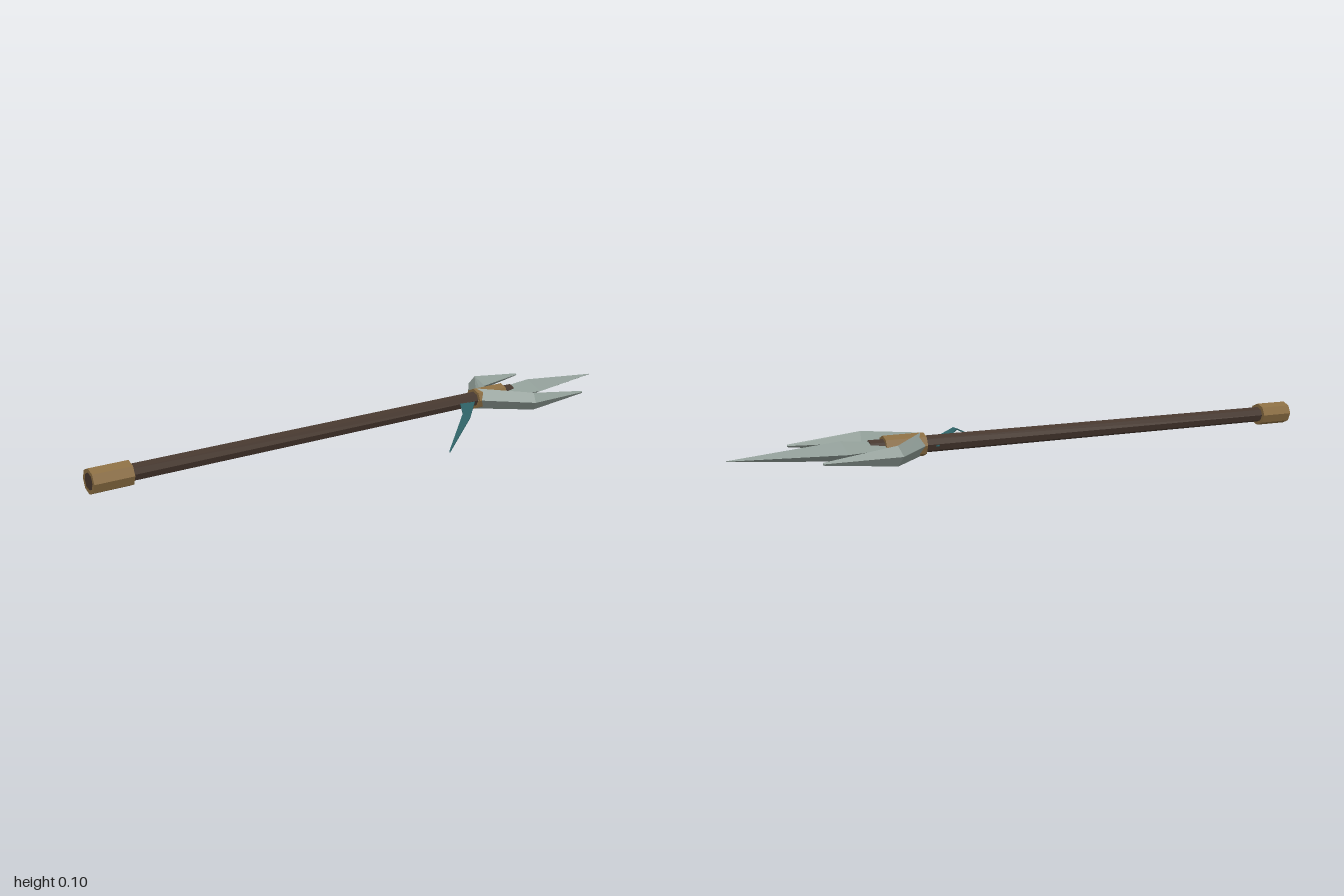
import * as THREE from 'three';

const mat = (color) => new THREE.MeshStandardMaterial({ color, flatShading: true });

// Skin four-cornered cross-sections, close both ends, and turn faces outward
function loft(sections) {
  const tris = [];
  const quad = (a, b, c, d) => tris.push([a, b, c], [a, c, d]);
  for (let i = 0; i < sections.length - 1; i++) {
    const p = sections[i], q = sections[i + 1];
    for (let k = 0; k < 4; k++) {
      const n = (k + 1) % 4;
      quad(p[k], p[n], q[n], q[k]);
    }
  }
  const s = sections[0], e = sections[sections.length - 1];
  quad(s[3], s[2], s[1], s[0]);
  quad(e[0], e[1], e[2], e[3]);
  const v = (p) => new THREE.Vector3(...p);
  const volume = tris.reduce((sum, [a, b, c]) => sum + v(a).dot(v(b).cross(v(c))), 0);
  const pos = tris.flatMap((t) => (volume < 0 ? [t[0], t[2], t[1]] : t)).flat();
  const g = new THREE.BufferGeometry();
  g.setAttribute('position', new THREE.Float32BufferAttribute(pos, 3));
  g.computeVertexNormals();
  return g;
}

export function createModel() {
  const model = new THREE.Group();
  model.name = 'trident';
  const steel = mat(0x8f9c96), wood = mat(0x46372e), brass = mat(0x8a6d42), cloth = mat(0x2f6468);

  const body = new THREE.Group();
  body.name = 'weapon';
  body.position.set(-0.05, 0.062, 0);
  model.add(body);

  const add = (parent, name, geometry, material) => {
    const mesh = new THREE.Mesh(geometry, material);
    mesh.name = name;
    parent.add(mesh);
  };
  // Eight-sided rod lying along z
  const rod = (name, r, z0, z1, material) => {
    const g = new THREE.CylinderGeometry(r, r, z1 - z0, 8).rotateX(Math.PI / 2);
    add(body, name, g.translate(0, 0, (z0 + z1) / 2), material);
  };

  rod('shaft', 0.026, -0.585, 1, wood);
  rod('headCollar', 0.036, -0.54, -0.41, brass);

  // Pommel: a ring around the end of the shaft
  const ring = [[0.025, -0.06], [0.038, -0.06], [0.038, 0.06], [0.025, 0.06], [0.025, -0.06]];
  const pommel = new THREE.LatheGeometry(ring.map(([r, y]) => new THREE.Vector2(r, y)), 8);
  add(body, 'pommel', pommel.rotateX(Math.PI / 2).translate(0, 0, 0.94), brass);

  // Central blade: diamond sections [z, half width, half thickness]
  const blade = [[-0.51, 0.036, 0.015], [-0.67, 0.069, 0.03], [-1, 0.001, 0.001]];
  add(body, 'centreBlade', loft(blade.map(([z, w, h]) =>
    [[-w, 0, z], [0, h, z], [w, 0, z], [0, -h, z]])), steel);

  // Side prongs: one bent diamond bar from tip to tip
  // [outer x, outer z, ridge x, ridge z, inner x, inner z, half height]
  const half = [
    [0.17, -0.778, 0.167, -0.778, 0.163, -0.778, 0.004],
    [0.172, -0.543, 0.151, -0.553, 0.111, -0.566, 0.03],
    [0, -0.385, 0, -0.42, 0, -0.455, 0.036],
  ];
  const section = (m) => ([ox, oz, rx, rz, ix, iz, h]) =>
    [[m * ox, 0, oz], [m * rx, h, rz], [m * ix, 0, iz], [m * rx, -h, rz]];
  const prongs = [...half.map(section(-1)), ...half.slice(0, 2).reverse().map(section(1))];
  add(body, 'sideProngs', loft(prongs), steel);

  // Ribbon tied below the head: [left x, y, z, right x, y, z]
  const t = 0.002;
  const ribbon = [
    [-0.083, 0.058, -0.374, -0.03, 0.058, -0.4],
    [0.1, 0.073, -0.228, 0.143, 0.071, -0.222],
    [0.216, 0.003, -0.07, 0.22, 0.003, -0.07],
  ].map(([ax, ay, az, bx, by, bz]) =>
    [[ax, ay + t, az], [bx, by + t, bz], [bx, by - t, bz], [ax, ay - t, az]]);
  add(model, 'ribbon', loft(ribbon), cloth);

  return model;
}
